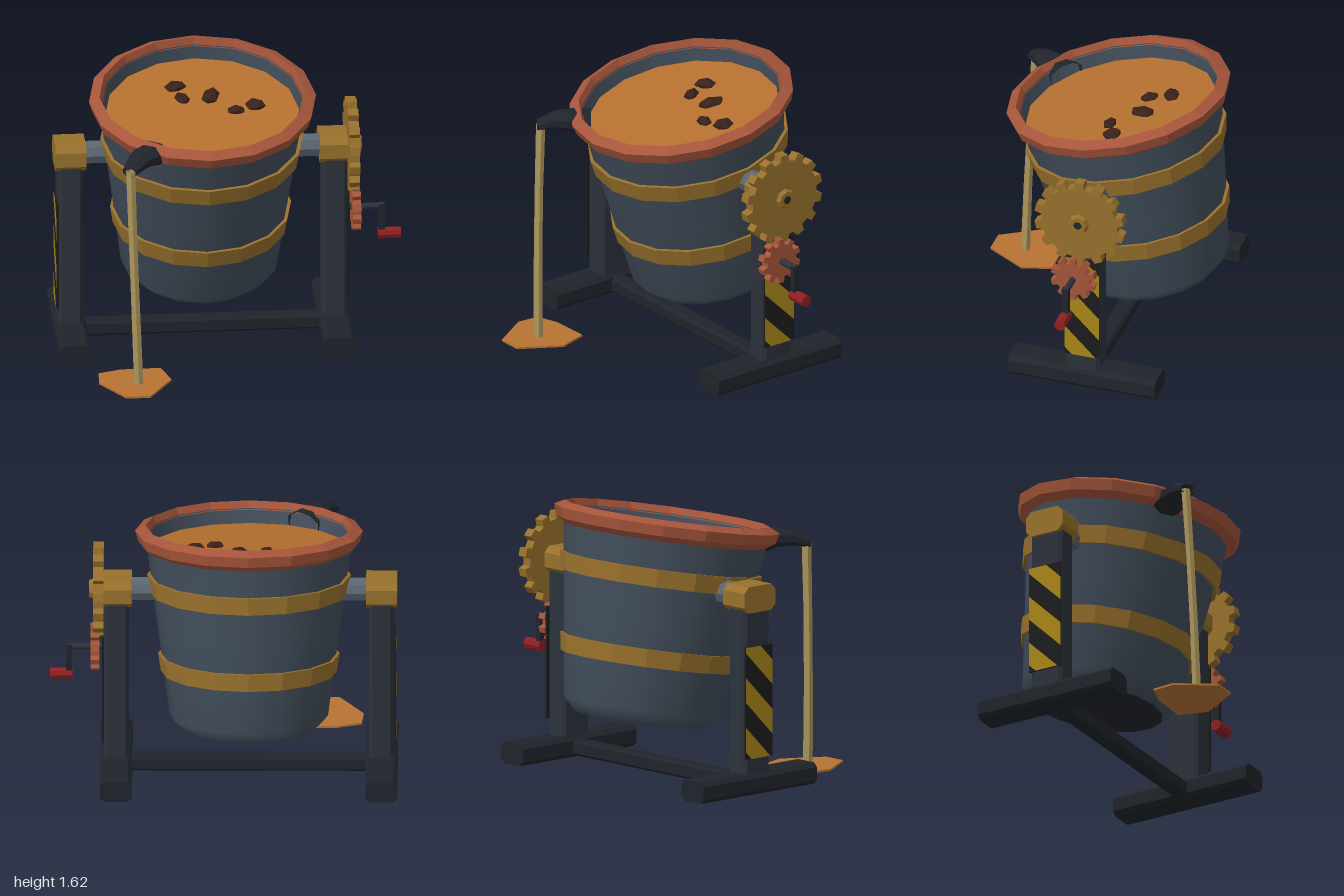
import * as THREE from 'three';

const mat = (color, flatShading = true, side = THREE.FrontSide) =>
  new THREE.MeshStandardMaterial({ color, flatShading, side });
const STEEL = 0x414d5a, FRAME = 0x2c323b, DARK = 0x20242b, BRASS = 0x98712c, COPPER = 0xa6553a;
const MID = -0.145, PIVOT_Y = 1.145, PIVOT_Z = -0.19, TILT = 0.183;

function add(parent, name, geo, material, x = 0, y = 0, z = 0) {
  const m = new THREE.Mesh(geo, material);
  m.name = name;
  m.position.set(x, y, z);
  parent.add(m);
  return m;
}

// Bar with chamfered long edges, running along z and centred
function bar(w, h, length, c) {
  const a = w / 2, b = h / 2;
  const pts = [[a - c, -b], [a, c - b], [a, b - c], [a - c, b], [c - a, b], [-a, b - c], [-a, c - b], [c - a, -b]];
  const shape = new THREE.Shape(pts.map(p => new THREE.Vector2(...p)));
  return new THREE.ExtrudeGeometry(shape, { depth: length, bevelEnabled: false }).translate(0, 0, -length / 2);
}

// Toothed wheel facing +x, starting at x = 0
function gear(teeth, root, outer, depth) {
  const pts = [], step = Math.PI * 2 / teeth;
  for (let i = 0; i < teeth; i++) {
    for (const [t, r] of [[-0.3, root], [-0.2, outer], [0.2, outer], [0.3, root]]) {
      const a = Math.PI / 2 + (i + t) * step;
      pts.push(new THREE.Vector2(Math.cos(a) * r, Math.sin(a) * r));
    }
  }
  return new THREE.ExtrudeGeometry(new THREE.Shape(pts), { depth, bevelEnabled: false }).rotateY(Math.PI / 2);
}

const rod = (r0, r1, length, sides) => new THREE.CylinderGeometry(r1, r0, length, sides).rotateZ(-Math.PI / 2);

const lathe = pts => new THREE.LatheGeometry(pts.map(p => new THREE.Vector2(...p)), 16);

// Skin over elliptical rings [x, y, z, half-width, half-height] spanned by two vectors
function loft(rings, sides, side, up) {
  const pos = [], idx = [];
  rings.forEach(([x, y, z, w, h], k) => {
    for (let i = 0; i < sides; i++) {
      const a = (i + 0.5) / sides * Math.PI * 2;
      const p = new THREE.Vector3(x, y, z).addScaledVector(side, Math.cos(a) * w).addScaledVector(up, Math.sin(a) * h);
      pos.push(p.x, p.y, p.z);
      if (k) {
        const j = (i + 1) % sides, n = k * sides, o = n - sides;
        idx.push(o + i, o + j, n + i, o + j, n + j, n + i);
      }
    }
  });
  const g = new THREE.BufferGeometry();
  g.setAttribute('position', new THREE.Float32BufferAttribute(pos, 3));
  g.setIndex(idx);
  g.computeVertexNormals();
  return g;
}

function makeBucket() {
  const bucket = new THREE.Group();
  bucket.name = 'bucket';
  bucket.position.set(MID, PIVOT_Y, PIVOT_Z);
  bucket.rotation.x = TILT;
  add(bucket, 'bucketWall', lathe([[0.38, -0.82], [0.455, -0.747], [0.52, -0.25], [0.59, 0.27]]), mat(STEEL, false));
  add(bucket, 'bucketBase', new THREE.CircleGeometry(0.38, 16).rotateX(Math.PI / 2), mat(DARK), 0, -0.82);
  add(bucket, 'bucketInside', lathe([[0.578, 0.335], [0.553, 0.22]]), mat(STEEL, false));
  add(bucket, 'rim', lathe([[0.58, 0.245], [0.637, 0.283], [0.655, 0.345], [0.595, 0.375], [0.575, 0.325]]), mat(COPPER));
  // Reinforcing hoops
  for (const [y0, y1, r0, r1] of [[-0.017, 0.086, 0.57, 0.586], [-0.485, -0.381, 0.506, 0.522]]) {
    add(bucket, 'hoop', lathe([[r0 - 0.03, y0], [r0, y0], [r1, y1], [r1 - 0.03, y1]]), mat(BRASS));
  }
  // Contents
  add(bucket, 'liquid', new THREE.CircleGeometry(0.56, 16).rotateX(-Math.PI / 2), mat(0xb5702f), 0, 0.25);
  const lumps = [[-0.28, -0.41, 0.07, 0.05, 0.4], [-0.25, -0.285, 0.042, 0.058, 0.5], [-0.085, -0.3, 0.052, 0.085, -0.3],
    [0.05, -0.145, 0.055, 0.04, 0], [0.165, -0.195, 0.062, 0.06, 0.3]];
  for (const [x, z, w, d, turn] of lumps) {
    const lump = add(bucket, 'lump', new THREE.IcosahedronGeometry(1, 0), mat(0x38211a), x - MID, 0.255, z + 0.145);
    lump.scale.set(w, 0.03, d);
    lump.rotation.y = turn;
  }
  return bucket;
}

// Warning plate with diagonal stripes, facing +x
function makePlate() {
  const plate = new THREE.Group();
  plate.name = 'warningPlate';
  const y0 = 0.215, y1 = 0.87, half = 0.105, pitch = 0.145;
  add(plate, 'plateBack', new THREE.BoxGeometry(0.012, y1 - y0, half * 2), mat(0x1c1c1e), 0.076, (y0 + y1) / 2);
  const clampY = v => Math.min(y1, Math.max(y0, v));
  for (let i = 0; i < 4; i++) {
    // Stripe falls 45 degrees from left edge to right edge, clipped to the plate
    const low = 0.26 + i * pitch * 2, high = low + pitch, pts = [];
    const N = 42;
    for (let k = 0; k <= N; k++) pts.push([k / N * 2 * half, clampY(low - k / N * 2 * half)]);
    for (let k = N; k >= 0; k--) pts.push([k / N * 2 * half, clampY(high - k / N * 2 * half)]);
    if (pts.every(p => p[1] === y1)) continue;
    const shape = new THREE.Shape(pts.map(p => new THREE.Vector2(p[0] - half, p[1])));
    add(plate, 'stripe', new THREE.ShapeGeometry(shape).rotateY(Math.PI / 2), mat(0xa98518), 0.084);
  }
  return plate;
}

// Foot, post, bearing and trunnion; s = 1 on the left, -1 on the right
function makeStand(s) {
  const stand = new THREE.Group();
  stand.name = s > 0 ? 'leftStand' : 'rightStand';
  stand.position.set(MID + s * 0.7625, 0, PIVOT_Z);
  if (s < 0) stand.rotation.y = Math.PI;
  add(stand, 'foot', bar(0.185, 0.125, 0.89, 0.025), mat(DARK), 0, 0.0625);
  add(stand, 'post', bar(0.145, 0.205, 0.97, 0.02).rotateX(Math.PI / 2), mat(FRAME), 0, 0.6);
  add(stand, 'bearingBlock', bar(0.245, 0.155, 0.178, 0.035).rotateY(Math.PI / 2), mat(BRASS), 0, 1.147);
  add(stand, 'trunnion', rod(0.07, 0.07, 0.22, 8), mat(0x5c6671), -0.16, PIVOT_Y);
  stand.add(makePlate());
  return stand;
}

function makeDrive() {
  const drive = new THREE.Group();
  drive.name = 'drive';
  add(drive, 'largeGear', gear(14, 0.232, 0.272, 0.06), mat(BRASS), 0.69, PIVOT_Y, PIVOT_Z);
  add(drive, 'gearHub', rod(0.065, 0.05, 0.03, 8), mat(BRASS), 0.76, PIVOT_Y, PIVOT_Z);
  add(drive, 'gearShaft', rod(0.026, 0.026, 0.1, 6), mat(DARK), 0.727, PIVOT_Y, PIVOT_Z);
  const z = -0.157, y = 0.765;
  add(drive, 'smallGear', gear(10, 0.102, 0.136, 0.05), mat(COPPER), 0.715, y, z);
  add(drive, 'crankShaft', rod(0.02, 0.02, 0.22, 8), mat(FRAME), 0.79, y, z);
  add(drive, 'crankArm', new THREE.BoxGeometry(0.035, 0.19, 0.04), mat(DARK), 0.89, 0.685, z);
  add(drive, 'crankHandle', rod(0.035, 0.035, 0.13, 8), mat(0x8f1f22), 0.935, 0.595, z);
  return drive;
}

function makePour() {
  const pour = new THREE.Group();
  pour.name = 'pour';
  const side = new THREE.Vector3(0.8, 0, 0.6), up = new THREE.Vector3(0, 1, 0);
  const spout = [[-0.455, 1.335, 0.29, 0.115, 0.07], [-0.51, 1.36, 0.4, 0.09, 0.058],
    [-0.56, 1.358, 0.465, 0.072, 0.05], [-0.625, 1.325, 0.55, 0.045, 0.03]];
  add(pour, 'spout', loft(spout, 8, side, up), mat(DARK, true, THREE.DoubleSide));
  const stream = [[-0.615, 1.325, 0.53, 0.03, 0.028], [-0.603, 0.9, 0.553, 0.027, 0.025],
    [-0.588, 0.45, 0.57, 0.028, 0.026], [-0.573, 0.02, 0.58, 0.03, 0.028]];
  add(pour, 'stream', loft(stream, 6, new THREE.Vector3(1, 0, 0), new THREE.Vector3(0, 0, 1)),
    mat(0xab965c, true, THREE.DoubleSide));
  // Spilled puddle, outline in x and z
  const outline = [[-0.79, 0.42], [-0.66, 0.375], [-0.43, 0.37], [-0.38, 0.54], [-0.52, 0.775], [-0.66, 0.775], [-0.8, 0.55]];
  const shape = new THREE.Shape(outline.map(([x, z]) => new THREE.Vector2(x, -z)));
  add(pour, 'puddle', new THREE.ExtrudeGeometry(shape, { depth: 0.012, bevelEnabled: false }).rotateX(-Math.PI / 2),
    mat(0xb87333), 0, 0.01);
  return pour;
}

export function createModel() {
  const model = new THREE.Group();
  model.name = 'tiltingBucket';
  model.add(makeBucket(), makeStand(1), makeStand(-1), makeDrive(), makePour());
  add(model, 'crossBeam', bar(0.1, 0.09, 1.4, 0.015).rotateY(Math.PI / 2), mat(DARK), MID, 0.058, PIVOT_Z);
  return model;
}
